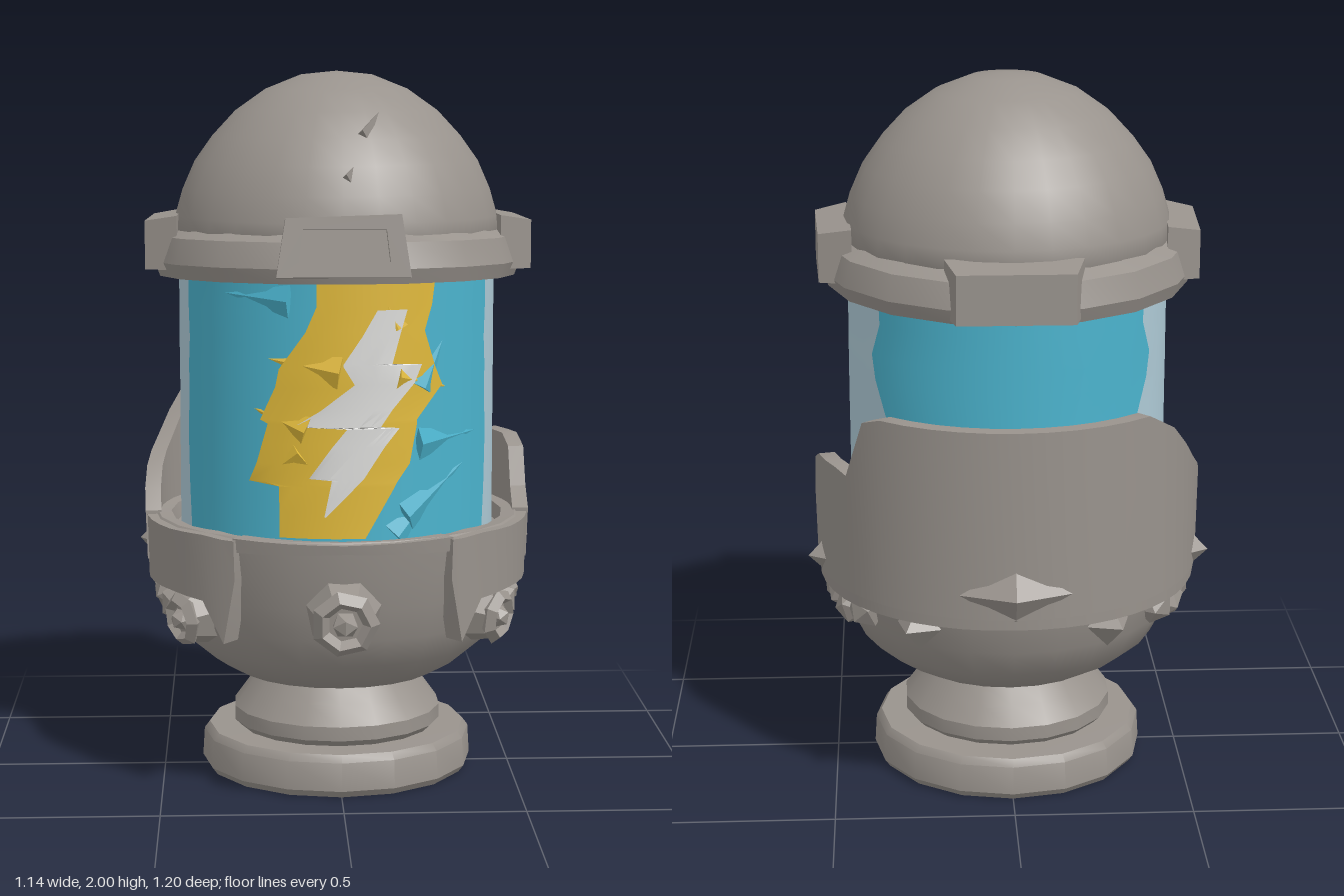
import * as THREE from 'three';
import { toCreasedNormals } from 'three/addons/utils/BufferGeometryUtils.js';

const material = (name, color, side = THREE.DoubleSide) => {
  const m = new THREE.MeshStandardMaterial({ color, side });
  m.name = name;
  return m;
};
const rad = THREE.MathUtils.degToRad;
const GLASS_R = 0.447;

// point on a circle around the body; 0 degrees is the front, 90 is +x
const polar = (deg, r, y) => [Math.sin(rad(deg)) * r, y, Math.cos(rad(deg)) * r];

// skin through equal cross-sections
function loft(sections, closed = false, crease = 0.6) {
  const n = sections[0].length, index = [];
  for (let i = 0; i < sections.length - 1; i++) {
    for (let j = 0; j < (closed ? n : n - 1); j++) {
      const k = (j + 1) % n, a = i * n + j, b = i * n + k;
      index.push(a, b, b + n, a, b + n, a + n);
    }
  }
  if (closed) {
    const e = (sections.length - 1) * n;
    for (let j = 1; j < n - 1; j++) index.push(0, j + 1, j, e, e + j, e + j + 1);
  }
  const g = new THREE.BufferGeometry();
  g.setAttribute('position', new THREE.Float32BufferAttribute(sections.flat(2), 3));
  g.setIndex(index);
  return toCreasedNormals(g, crease);
}

// linear resampling of rows [key, value, value]
function resample(rows, step) {
  const out = [];
  for (let i = 0; i < rows.length - 1; i++) {
    const n = Math.max(1, Math.round(Math.abs(rows[i + 1][0] - rows[i][0]) / step));
    for (let k = 0; k < n; k++) out.push(rows[i].map((v, c) => v + (rows[i + 1][c] - v) * k / n));
  }
  return [...out, rows.at(-1)];
}

// curved thin surface from rows [y, startAngle, endAngle]
const skin = (rows, r, n) => loft(rows.map(([y, a, b]) =>
  Array.from({ length: n + 1 }, (_, j) => polar(a + (b - a) * j / n, r, y))));

// curved solid wall from columns [angle, bottom, top]
const wall = (cols, rIn, rOut, step = 8) => loft(resample(cols, step).map(([a, y0, y1]) =>
  [polar(a, rOut, y1), polar(a, rOut - 0.005, y0), polar(a, rIn, y0), polar(a, rIn, y1)]), true);

const lathe = (pts, sides, crease = 0.6) => toCreasedNormals(
  new THREE.LatheGeometry(pts.map(p => new THREE.Vector2(...p)), sides), crease);

// box whose outer (+z) face is narrower
function taperedBox(w, h, d, k = 0.85) {
  const g = new THREE.BoxGeometry(w, h, d), p = g.attributes.position;
  for (let i = 0; i < p.count; i++) {
    if (p.getZ(i) > 0) p.setXY(i, p.getX(i) * k, p.getY(i) * (p.getY(i) > 0 ? 0.8 : 1));
  }
  return toCreasedNormals(g, 0.2);
}

export function createModel() {
  const model = new THREE.Group();
  const stone = material('weathered grey', 0x99938d);
  const teal = material('teal glass', 0x4bb3cd);
  const pale = material('pale blue glass', 0xb0ccd8);
  const yellow = material('bolt yellow', 0xe0b93a);
  const white = material('bolt white', 0xdcdcda);

  const add = (name, geo, mat, parent = model) => {
    const m = new THREE.Mesh(geo, mat);
    m.name = name;
    parent.add(m);
    return m;
  };
  // put a part on the outside of the body, facing outward
  const around = (name, geo, mat, deg, y, r) => {
    const m = add(name, geo, mat);
    m.position.set(...polar(deg, r, y));
    m.rotation.set(0, rad(deg), 0, 'YXZ');
    return m;
  };

  // foot and neck
  add('foot', lathe([[0, 0], [0.375, 0], [0.39, 0.02], [0.385, 0.1], [0.37, 0.12], [0, 0.125]], 16), stone).position.z = -0.02;
  add('neck', lathe([[0.28, 0.12], [0.3, 0.14], [0.3, 0.18], [0.26, 0.235], [0.225, 0.29], [0.23, 0.32]], 18), stone).position.z = -0.015;

  // bowl
  add('bowl', lathe([[0, 0.295], [0.29, 0.295], [0.36, 0.335], [0.425, 0.39], [0.465, 0.47], [0.49, 0.56],
    [0.51, 0.65], [0.525, 0.745], [0.515, 0.755], [0.475, 0.75], [0.465, 0.71], [0.4, 0.7]], 24), stone);
  add('bowlBand', wall([[33, 0.64, 0.75], [37, 0.46, 0.75], [45, 0.57, 0.755], [60, 0.575, 0.75], [120, 0.565, 0.75],
    [180, 0.57, 0.75], [240, 0.565, 0.75], [300, 0.575, 0.75], [315, 0.57, 0.755], [323, 0.46, 0.75], [327, 0.64, 0.75]],
  0.475, 0.545), stone);
  add('frontLip', wall([[-34, 0.715, 0.755], [0, 0.725, 0.75], [34, 0.715, 0.755]], 0.48, 0.535), stone);

  // raised guard behind the glass
  add('backGuard', wall([[84, 0.62, 0.76], [93, 0.6, 0.81], [97, 0.6, 0.92], [104, 0.6, 0.95], [118, 0.6, 0.95],
    [124, 0.6, 0.94], [132, 0.6, 1.11], [139, 0.6, 1.13], [222, 0.6, 1.13], [234, 0.6, 1.07], [250, 0.6, 0.94],
    [263, 0.6, 0.87], [276, 0.62, 0.76]], 0.505, 0.55), stone);

  // rubble under the band, mirrored
  for (const s of [1, -1]) {
    for (let i = 0; i < 6; i++) {
      const rock = around('rubble', new THREE.IcosahedronGeometry(0.058, 0).toNonIndexed(), stone,
        s * (72 + i * 10), 0.515 + 0.015 * (i % 2), 0.475);
      rock.rotation.z = i * 1.3;
    }
    around('bandStud', toCreasedNormals(new THREE.OctahedronGeometry(0.07, 0), 0.1), stone, s * 103, 0.645, 0.515);
    around('backStud', toCreasedNormals(new THREE.OctahedronGeometry(0.07, 0), 0.1), stone, s * 148, 0.54, 0.49);
  }
  around('backBoss', toCreasedNormals(new THREE.OctahedronGeometry(0.09, 0).scale(1.7, 1, 0.7), 0.1), stone, 180, 0.67, 0.53);

  // bolts: chunky collar, ring and faceted core
  const bolt = (deg, y, r, size) => {
    const g = new THREE.Group();
    g.name = 'boltHead';
    g.position.set(...polar(deg, r, y));
    g.rotation.set(0.12, rad(deg), 0, 'YXZ');
    g.scale.setScalar(size);
    add('boltCollar', toCreasedNormals(new THREE.CylinderGeometry(0.75, 1.1, 1.1, 7).rotateX(Math.PI / 2), 0.3), stone, g);
    add('boltRing', toCreasedNormals(new THREE.TorusGeometry(0.68, 0.26, 4, 7), 0.3), stone, g).position.z = 0.5;
    add('boltCore', toCreasedNormals(new THREE.IcosahedronGeometry(0.38, 0), 0.1), stone, g).position.z = 0.55;
    model.add(g);
  };
  bolt(0, 0.55, 0.515, 0.1);
  bolt(58, 0.5, 0.475, 0.085);
  bolt(-58, 0.5, 0.475, 0.085);

  // glass tube: teal front and back, pale sides with wavy seams
  const seams = [[0.7, 63, 124], [0.85, 65, 122], [1.0, 66, 124], [1.1, 65, 130], [1.2, 65, 124],
    [1.27, 64, 122], [1.36, 65, 127], [1.48, 65, 126]];
  const tube = new THREE.Group();
  tube.name = 'glassTube';
  tube.position.z = -0.012;
  model.add(tube);
  add('frontGlass', skin(seams.map(([y, a]) => [y, -a - 4, a]), GLASS_R, 16), teal, tube);
  add('backGlass', skin(seams.map(([y, , b]) => [y, b, 360 - b]), GLASS_R, 14), teal, tube);
  add('rightGlass', skin(seams, GLASS_R, 8), pale, tube);
  add('leftGlass', skin(seams.map(([y, a, b]) => [y, 360 - b, 356 - a]), GLASS_R, 8), pale, tube);

  // lightning emblem from rows [y, left x, right x]
  const emblem = (rows, r) => skin(resample(rows, 0.06).map(([y, a, b]) =>
    [y, ...[a, b].map(x => THREE.MathUtils.radToDeg(Math.asin(x / GLASS_R)))]), r, 8);
  add('emblemBorder', emblem([[0.75, -0.17, 0.06], [0.89, -0.17, 0.14], [0.9, -0.25, 0.145], [0.95, -0.23, 0.18],
    [1.06, -0.2, 0.2], [1.07, -0.22, 0.2], [1.16, -0.18, 0.27], [1.21, -0.17, 0.25], [1.31, -0.1, 0.22],
    [1.38, -0.07, 0.24], [1.46, -0.07, 0.25]], GLASS_R + 0.005), yellow, tube);
  add('emblemBolt', emblem([[0.81, -0.05, -0.045], [0.91, -0.03, 0.05], [0.915, -0.09, 0.055], [1.0, -0.03, 0.11],
    [1.05, 0.01, 0.15], [1.055, -0.13, 0.1], [1.1, -0.06, 0.13], [1.17, 0.03, 0.19], [1.22, 0.0, 0.21],
    [1.225, 0.0, 0.13], [1.3, 0.05, 0.15], [1.37, 0.09, 0.17]], GLASS_R + 0.01), white, tube);

  // chipped shards around the emblem: [angle, y, length, tilt, material]
  const shards = [[36, 1.24, 0.2, -0.5, teal], [42, 1.01, 0.22, -1.5, teal], [36, 0.87, 0.24, -1.0, teal],
    [26, 0.8, 0.14, -0.8, teal], [30, 1.17, 0.16, -1.8, yellow], [-14, 1.22, 0.2, 1.4, yellow],
    [-23, 1.07, 0.16, 1.2, yellow], [16, 1.38, 0.14, 0.4, yellow], [-22, 0.95, 0.12, 2.2, yellow],
    [-32, 1.4, 0.2, 1.5, teal]];
  for (const [a, y, len, tilt, mat] of shards) {
    const geo = toCreasedNormals(new THREE.ConeGeometry(0.045, len, 4).scale(1, 1, 0.35), 0.1);
    around('chip', geo, mat, a, y, 0.432).rotation.z = tilt;
  }

  // dome cap, rim slightly lower at the back
  const dome = lathe([[0.43, 1.5], [0.462, 1.53], [0.455, 1.6], [0.435, 1.67], [0.4, 1.75], [0.35, 1.82],
    [0.285, 1.89], [0.2, 1.95], [0.1, 1.99], [0, 2.0]], 28, 1.0);
  add('dome', dome, stone).position.z = -0.01;
  const rim = add('domeRim', lathe([[0.43, 1.46], [0.45, 1.43], [0.505, 1.43], [0.52, 1.47], [0.5, 1.54], [0.44, 1.57]], 18, 0.4), stone);
  rim.rotation.x = -0.03;
  rim.position.set(0, 0, 0.03);

  // rim blocks
  around('rightBlock', taperedBox(0.37, 0.15, 0.09), stone, 93, 1.53, 0.485);
  around('leftBlock', taperedBox(0.37, 0.15, 0.09), stone, -93, 1.53, 0.485);
  around('backBlock', taperedBox(0.37, 0.15, 0.12), stone, 180, 1.5, 0.495);

  // front frame with a sunken panel
  const frame = new THREE.Shape([[-0.18, -0.08], [0.175, -0.08], [0.15, 0.085], [-0.155, 0.075]].map(p => new THREE.Vector2(...p)));
  frame.holes.push(new THREE.Path([[-0.12, -0.04], [-0.11, 0.045], [0.11, 0.045], [0.12, -0.04]].map(p => new THREE.Vector2(...p))));
  const frontFrame = add('frontFrame', new THREE.ExtrudeGeometry(frame, { depth: 0.11, bevelEnabled: false }), stone);
  frontFrame.position.set(0, 1.535, 0.43);
  frontFrame.rotation.x = -0.12;
  const panel = add('framePanel', new THREE.BoxGeometry(0.26, 0.11, 0.08), stone);
  panel.position.set(0, 1.535, 0.475);
  panel.rotation.x = -0.12;

  // small chips on the dome
  for (const [x, y, z, s] of [[0.08, 1.86, 0.295, 1], [0.025, 1.74, 0.388, 0.65]]) {
    const chip = add('domeChip', toCreasedNormals(new THREE.ConeGeometry(0.025 * s, 0.1 * s, 3), 0.1), stone);
    chip.position.set(x, y, z);
    chip.rotation.set(-0.75, 0, -0.5);
  }
  return model;
}
